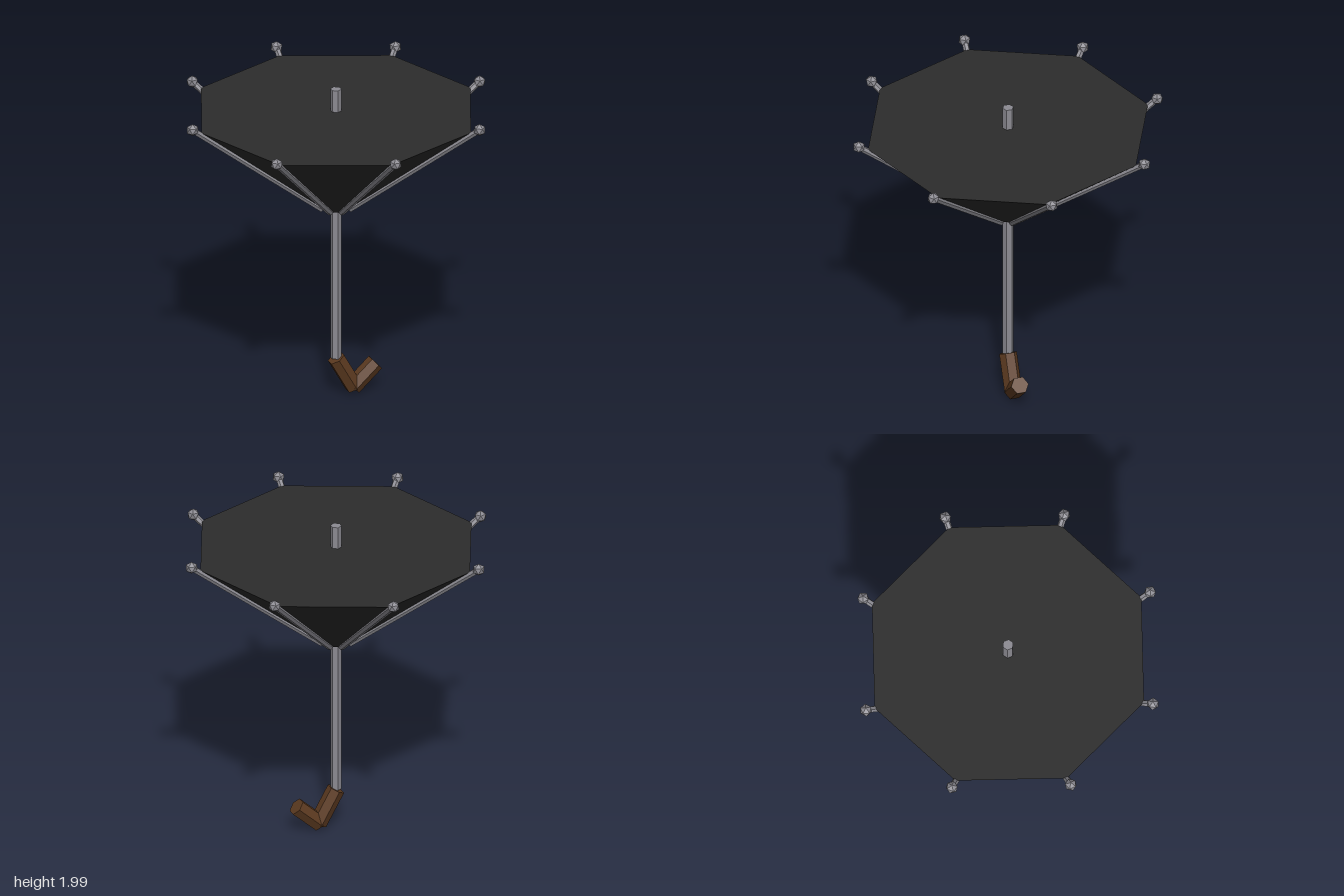
import * as THREE from 'three';

export function createModel() {
  const group = new THREE.Group();
  const mat = (name, color) => {
    const m = new THREE.MeshStandardMaterial({ color, flatShading: true });
    m.name = name;
    return m;
  };
  const cloth = mat('black cloth', 0x2c2c2c);
  const metal = mat('grey metal', 0x8c8b92);
  const wood = mat('brown wood', 0x5c3a20);

  const add = (name, geometry, material, parent = group) => {
    const mesh = new THREE.Mesh(geometry, material);
    mesh.name = name;
    parent.add(mesh);
    return mesh;
  };

  // Hexagonal rod between two points in the XY plane
  const rod = (name, [x0, y0], [x1, y1], radius, material, parent) => {
    const length = Math.hypot(x1 - x0, y1 - y0);
    const mesh = add(name, new THREE.CylinderGeometry(radius, radius, length, 6), material, parent);
    mesh.position.set((x0 + x1) / 2, (y0 + y1) / 2, 0);
    mesh.rotation.z = Math.atan2(y1 - y0, x1 - x0) - Math.PI / 2;
    return mesh;
  };

  // Shaft
  rod('shaft', [0, 0.25], [0, 2], 0.034, metal);

  // Bent handle
  rod('handleUpper', [0, 0.246], [0.115, 0.04], 0.054, wood);
  rod('handleHook', [0.106, 0.04], [0.254, 0.175], 0.054, wood);

  // Closed, upturned eight-sided canopy
  const canopy = add('canopy', new THREE.CylinderGeometry(0.868, 0.075, 0.635, 8), cloth);
  canopy.position.y = 1.5425;

  // Ribs with faceted tips, one along each canopy corner
  const tipGeometry = new THREE.IcosahedronGeometry(0.038, 0);
  tipGeometry.rotateZ(Math.atan(2 / (1 + Math.sqrt(5)))); // one vertex upright
  for (let i = 0; i < 8; i++) {
    const rib = new THREE.Group();
    rib.name = 'rib' + (i + 1);
    rod('ribRod', [0.09, 1.232], [0.925, 1.89], 0.02, metal, rib);
    add('ribTip', tipGeometry, metal, rib).position.set(0.925, 1.89, 0);
    rib.rotation.y = (i * Math.PI) / 4;
    group.add(rib);
  }

  return group;
}
